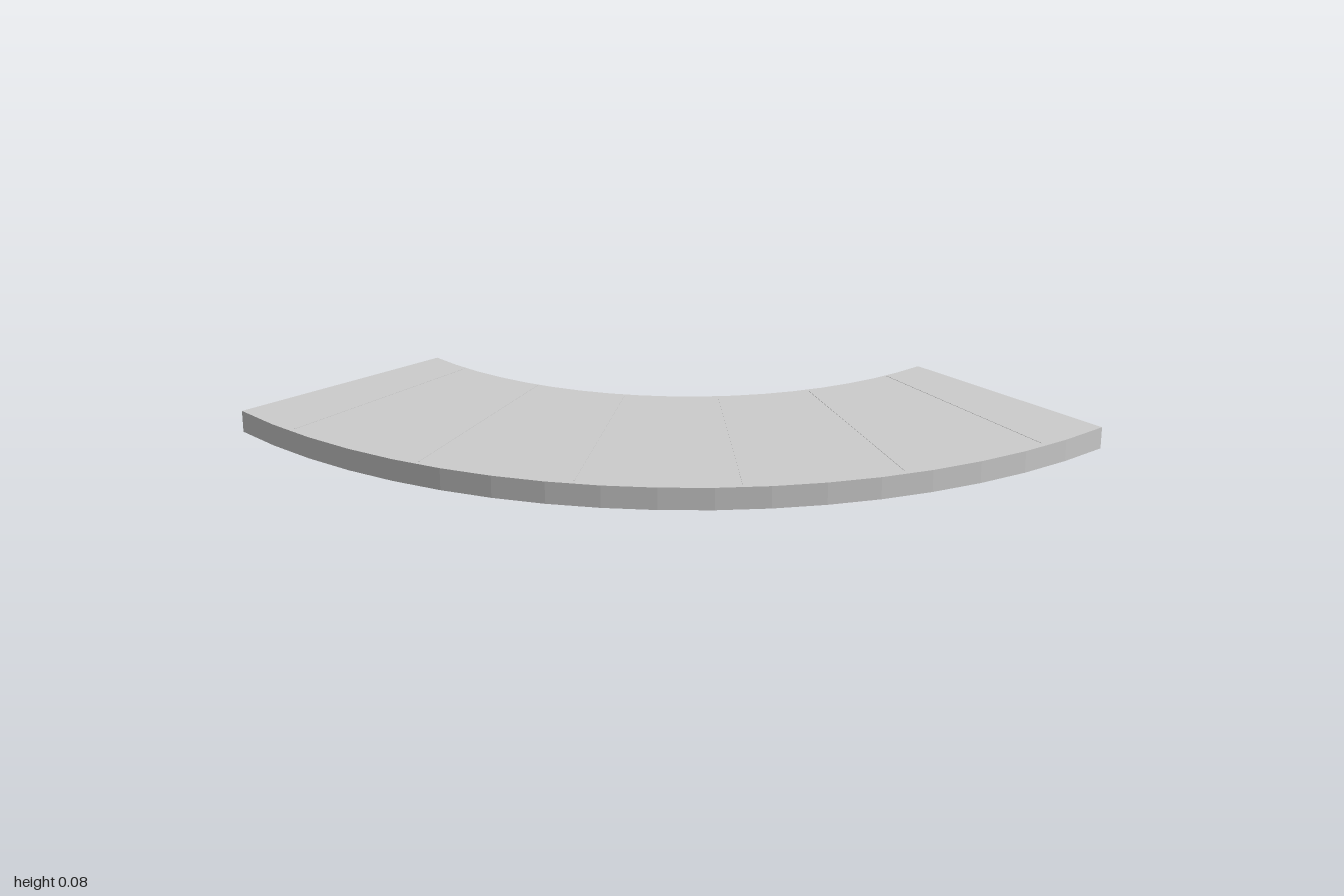
import * as THREE from 'three';

const INNER = 1.2, OUTER = 2, HEIGHT = 0.074, FACETS = 18, SEAMS = 6;

export function createModel() {
  const model = new THREE.Group();
  model.name = 'curvedPath';
  const material = new THREE.MeshStandardMaterial({ color: 0xcccccc, flatShading: true });

  // Quarter-ring slab: the outer arc, then back along the inner arc
  const points = [];
  const addArc = (radius, reverse) => {
    for (let i = 0; i <= FACETS; i++) {
      const a = (Math.PI / 2) * (reverse ? FACETS - i : i) / FACETS;
      points.push(new THREE.Vector2(radius * Math.cos(a), radius * Math.sin(a)));
    }
  };
  addArc(OUTER, false);
  addArc(INNER, true);
  const slabGeometry = new THREE.ExtrudeGeometry(new THREE.Shape(points), { depth: HEIGHT, bevelEnabled: false });
  slabGeometry.rotateX(Math.PI / 2).translate(-1, HEIGHT, -1);
  const slab = new THREE.Mesh(slabGeometry, material);
  slab.name = 'slab';
  model.add(slab);

  // Hairline joints across the top, one every 15 degrees
  const length = 0.77, middle = 1.592;
  const seamGeometry = new THREE.BoxGeometry(length, 0.002, 0.002);
  for (let i = 0; i < SEAMS; i++) {
    const a = ((i + 0.5) / SEAMS) * Math.PI / 2;
    const seam = new THREE.Mesh(seamGeometry, material);
    seam.name = 'joint' + (i + 1);
    seam.position.set(-1 + middle * Math.cos(a), HEIGHT, -1 + middle * Math.sin(a));
    seam.rotation.y = -a;
    model.add(seam);
  }
  return model;
}
